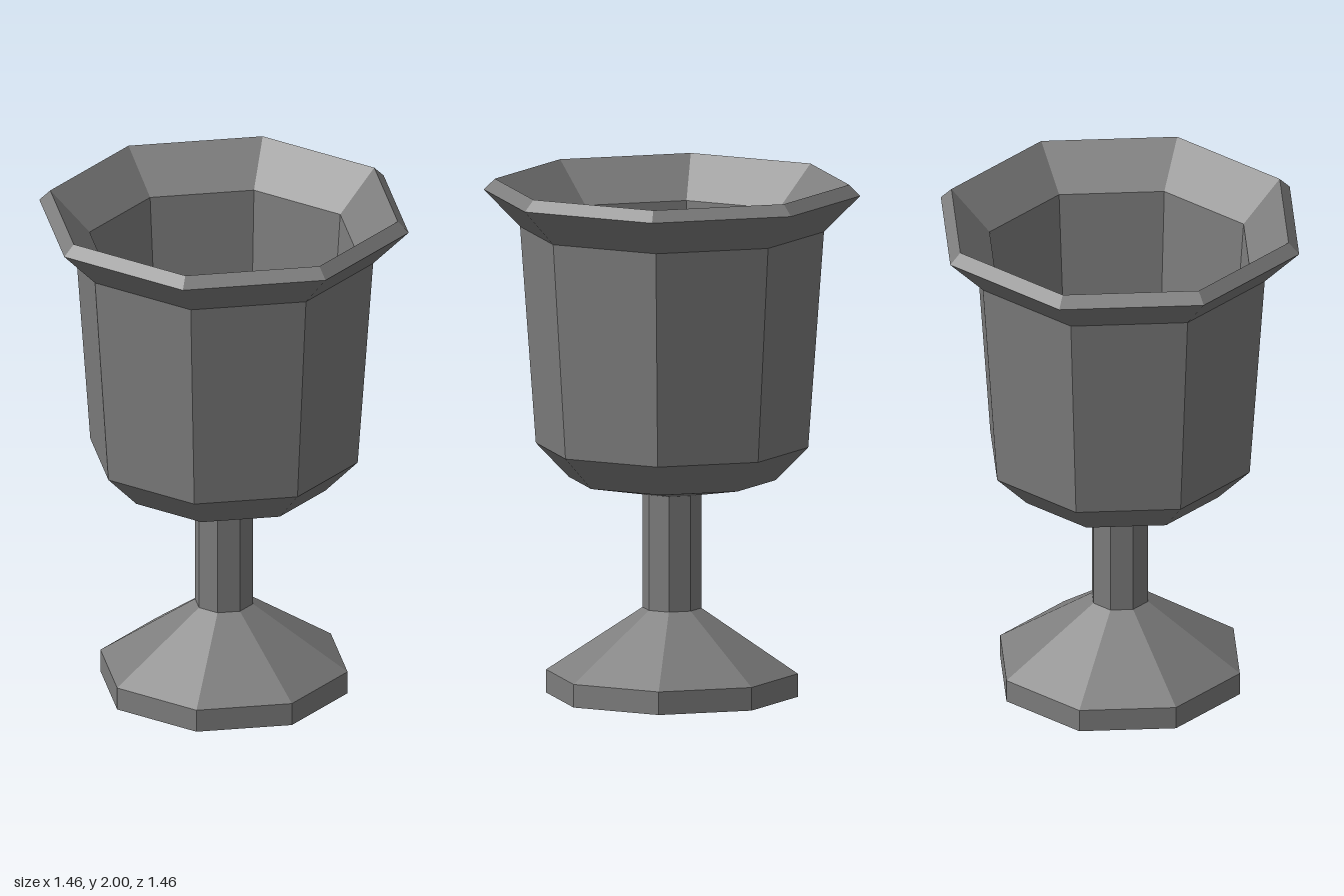
import * as THREE from 'three';

const SIDES = 8;
const material = new THREE.MeshStandardMaterial({ color: 0x7d7d7d, flatShading: true });

// Faceted eight-sided turning of a [radius, height] profile
function turned(name, profile) {
  const points = profile.map(([r, y]) => new THREE.Vector2(r, y));
  const geometry = new THREE.LatheGeometry(points, SIDES).toNonIndexed();
  geometry.computeVertexNormals();
  const mesh = new THREE.Mesh(geometry, material);
  mesh.name = name;
  return mesh;
}

export function createModel() {
  const goblet = new THREE.Group();
  goblet.name = 'goblet';

  // Flat-bottomed foot with a sloping top that meets the stem
  goblet.add(turned('foot', [[0, 0], [0.487, 0], [0.487, 0.09], [0.114, 0.34]]));

  // Straight stem
  goblet.add(turned('stem', [[0.114, 0.34], [0.114, 0.79]]));

  // Bowl: outside up to the flared lip, then down the inside to the floor
  goblet.add(turned('bowl', [
    [0.114, 0.79], [0.40, 0.843], [0.527, 0.973], [0.588, 1.815], [0.728, 1.957],
    [0.685, 2.0], [0.53, 1.84], [0.47, 1.0], [0.367, 0.895], [0, 0.895],
  ]));

  return goblet;
}
